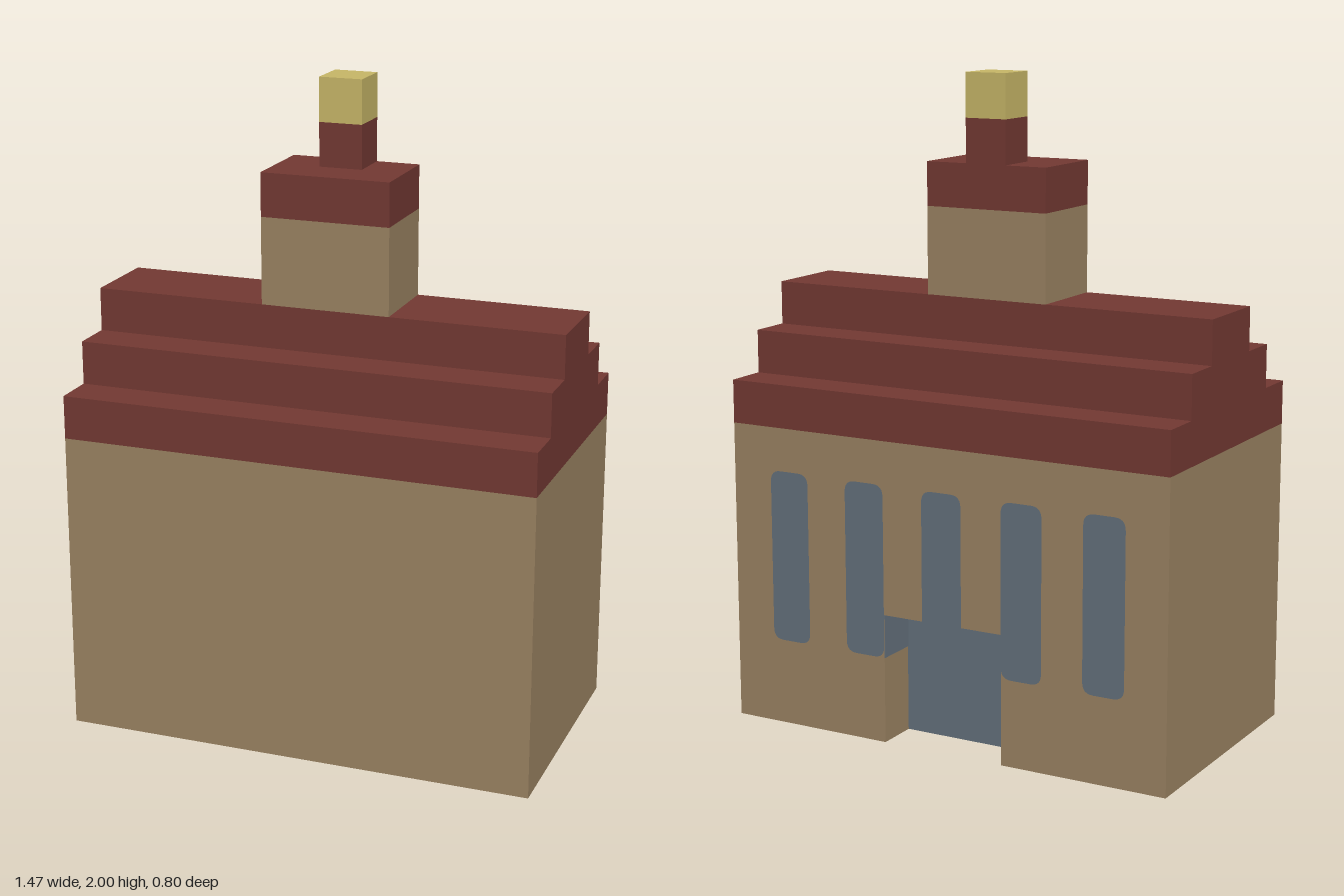
import * as THREE from 'three';

const U = 2 / 15; // building block size

const material = (name, color) => {
  const m = new THREE.MeshStandardMaterial({ color });
  m.name = name;
  return m;
};

export function createModel() {
  const stone = material('tan stone', 0x9c8463);
  const roof = material('red roof', 0x743933);
  const glass = material('blue grey glass', 0x65727d);
  const gold = material('pale gold', 0xc9b868);

  const model = new THREE.Group();
  model.name = 'hall';

  const add = (name, geometry, mat, parent = model) => {
    const mesh = new THREE.Mesh(geometry, mat);
    mesh.name = name;
    parent.add(mesh);
    return mesh;
  };
  // Box given by its limits in blocks
  const block = (name, mat, x0, x1, y0, y1, z0, z1, parent) => {
    const g = new THREE.BoxGeometry((x1 - x0) * U, (y1 - y0) * U, (z1 - z0) * U);
    g.translate((x0 + x1) * U / 2, (y0 + y1) * U / 2, (z0 + z1) * U / 2);
    return add(name, g, mat, parent);
  };

  // Ground floor: plan with a doorway notch at the back
  const plan = new THREE.Shape([
    [-5.5, -3], [5.5, -3], [5.5, 3], [1.5, 3], [1.5, 1], [-1.5, 1], [-1.5, 3], [-5.5, 3],
  ].map(([x, y]) => new THREE.Vector2(x * U, y * U)));
  const lower = new THREE.ExtrudeGeometry(plan, { depth: 3 * U, bevelEnabled: false });
  lower.rotateX(-Math.PI / 2);
  add('lowerWalls', lower, stone);
  block('upperWalls', stone, -5.5, 5.5, 3, 7, -3, 3);

  // Door set one block deep in the notch
  block('door', glass, -1.5, 1.5, 0, 3, -2, -1);

  // Stepped roof
  const steps = new THREE.Group();
  steps.name = 'steppedRoof';
  model.add(steps);
  [3, 2, 1].forEach((d, i) =>
    block('roofStep', roof, -5.5, 5.5, 7 + i, 8 + i, -d, d, steps));

  // Tower and off-centre spire
  block('towerWalls', stone, -1.5, 1.5, 10, 12, -1, 1);
  block('towerRoof', roof, -1.5, 1.5, 12, 13, -1, 1);
  block('spireBase', roof, -0.5, 0.5, 13, 14, -1, 0);
  block('spireTop', gold, -0.5, 0.5, 14, 15, -1, 0);

  // Tall windows with softened corners; the middle one is cut by the doorway
  const windowFace = (bottom, top, rBottom, rTop) => {
    const w = U / 2, y0 = bottom * U, y1 = top * U;
    const s = new THREE.Shape();
    s.moveTo(-w + rBottom, y0);
    s.lineTo(w - rBottom, y0);
    s.quadraticCurveTo(w, y0, w, y0 + rBottom);
    s.lineTo(w, y1 - rTop);
    s.quadraticCurveTo(w, y1, w - rTop, y1);
    s.lineTo(-w + rTop, y1);
    s.quadraticCurveTo(-w, y1, -w, y1 - rTop);
    s.lineTo(-w, y0 + rBottom);
    s.quadraticCurveTo(-w, y0, -w + rBottom, y0);
    return new THREE.ShapeGeometry(s, 6).rotateY(Math.PI);
  };
  const windows = new THREE.Group();
  windows.name = 'windows';
  model.add(windows);
  for (const x of [-4, -2, 0, 2, 4]) {
    const g = x === 0 ? windowFace(3, 6, 0, 0.035) : windowFace(2, 6, 0.035, 0.035);
    add('window', g, glass, windows).position.set(x * U, 0, -3 * U - 0.002);
  }

  // Glass showing on the doorway sides and ceiling
  for (const s of [-1, 1]) {
    const a = s * 1.5, b = s * 1.48;
    block('doorwaySideGlass', glass, Math.min(a, b), Math.max(a, b), 2, 3, -3, -2);
  }
  block('doorwayCeilingGlass', glass, -0.5, 0.5, 2.98, 3, -3, -2);

  return model;
}
